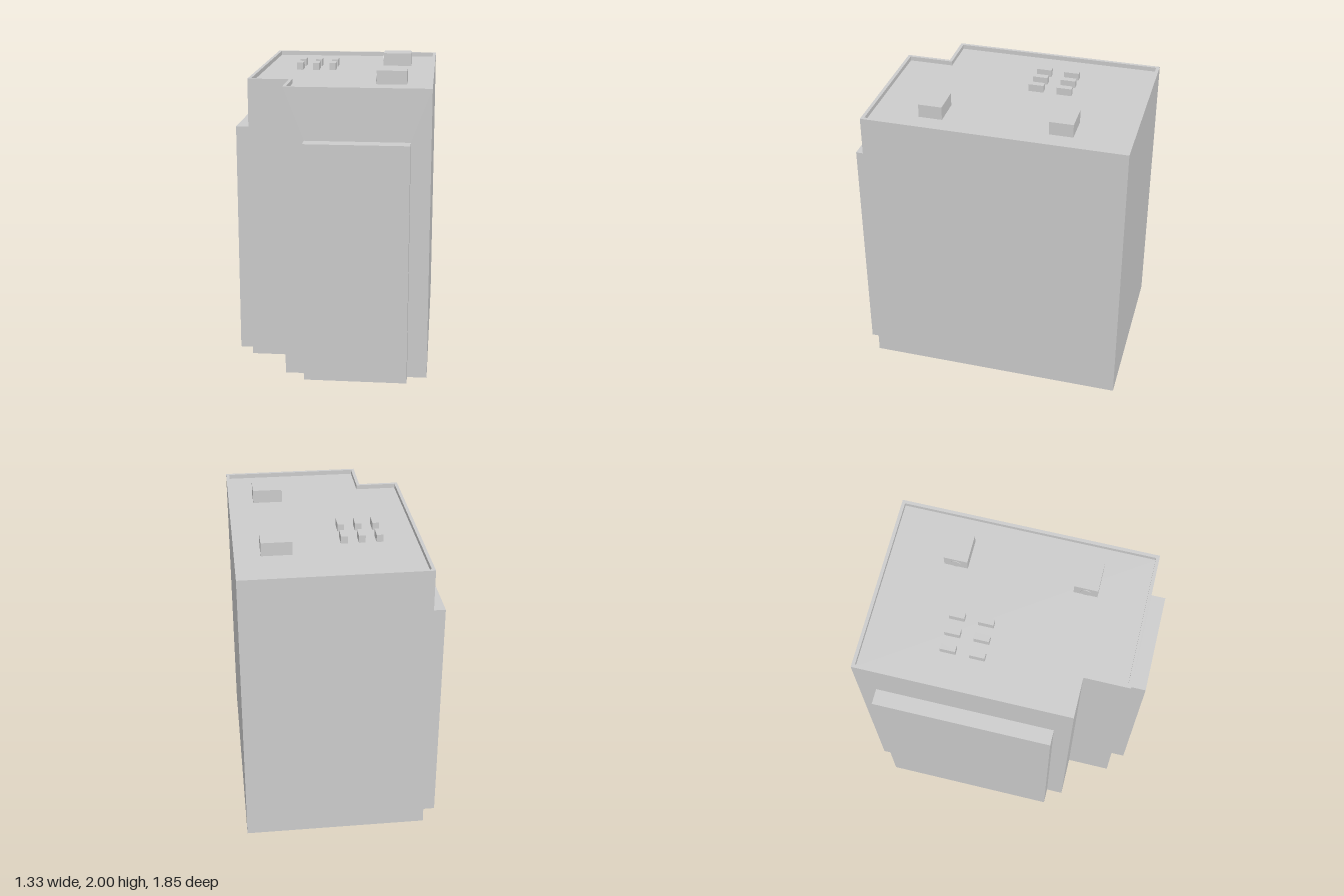
import * as THREE from 'three';

const material = new THREE.MeshStandardMaterial({ color: 0xcccccc, side: THREE.DoubleSide, flatShading: true });
const TOP = 1.94, ROOF = 1.91, BAY_TOP = 1.595, RIM = 0.022;

// Footprint corners [x, z], walked so that every wall faces outward
const footprint = [
  [-0.285, 0.82], [0.66, 0.82], [0.66, -0.925],
  [-0.56, -0.925], [-0.56, 0.515], [-0.285, 0.515],
];
const innerFootprint = [
  [-0.285 + RIM, 0.82 - RIM], [0.66 - RIM, 0.82 - RIM], [0.66 - RIM, -0.925 + RIM],
  [-0.56 + RIM, -0.925 + RIM], [-0.56 + RIM, 0.515 - RIM], [-0.285 + RIM, 0.515 - RIM],
];

function add(parent, name, geometry) {
  const mesh = new THREE.Mesh(geometry, material);
  mesh.name = name;
  parent.add(mesh);
  return mesh;
}

// Vertical wall from a to b; opening = [start, end] leaves a doorway up to BAY_TOP
function wall(parent, name, a, b, y0, y1, opening) {
  const dx = b[0] - a[0], dz = b[1] - a[1], length = Math.hypot(dx, dz);
  const points = [[0, y0]];
  if (opening) {
    const [s, e] = opening;
    points.push([s, y0], [s, BAY_TOP], [e, BAY_TOP], [e, y0]);
  }
  points.push([length, y0], [length, y1], [0, y1]);
  const shape = new THREE.Shape(points.map(p => new THREE.Vector2(...p)));
  const mesh = add(parent, name, new THREE.ShapeGeometry(shape));
  mesh.position.set(a[0], 0, a[1]);
  mesh.rotation.y = Math.atan2(-dz, dx);
}

// Horizontal sheet from [x, z] corners
function sheet(parent, name, corners, y, hole) {
  const flat = list => list.map(([x, z]) => new THREE.Vector2(x, -z));
  const shape = new THREE.Shape(flat(corners));
  if (hole) shape.holes.push(new THREE.Path(flat(hole)));
  const geometry = new THREE.ShapeGeometry(shape).rotateX(-Math.PI / 2).translate(0, y, 0);
  add(parent, name, geometry);
}

// Hollow bay opening into the building: three walls and a ledge
function bay(parent, name, corners) {
  const group = new THREE.Group();
  group.name = name;
  for (let i = 0; i < 3; i++) wall(group, 'bayWall', corners[i], corners[i + 1], 0, BAY_TOP);
  sheet(group, 'bayTop', corners, BAY_TOP);
  parent.add(group);
}

function box(parent, name, x0, x1, y0, y1, z0, z1) {
  const geometry = new THREE.BoxGeometry(x1 - x0, y1 - y0, z1 - z0);
  return add(parent, name, geometry.translate((x0 + x1) / 2, (y0 + y1) / 2, (z0 + z1) / 2));
}

export function createModel() {
  const model = new THREE.Group();
  model.name = 'building';

  // Outer walls, open underneath, with openings behind the two bays
  const openings = { 0: [0.135, 0.815], 3: [0.125, 1.325] };
  footprint.forEach((a, i) => {
    wall(model, 'outerWall', a, footprint[(i + 1) % 6], 0, TOP, openings[i]);
  });

  // Projecting bays
  bay(model, 'frontBay', [[-0.15, 0.82], [-0.15, 0.925], [0.53, 0.925], [0.53, 0.82]]);
  bay(model, 'sideBay', [[-0.56, -0.8], [-0.665, -0.8], [-0.665, 0.4], [-0.56, 0.4]]);

  // Sunken roof and parapet
  sheet(model, 'roof', innerFootprint, ROOF);
  sheet(model, 'parapetCap', footprint, TOP, innerFootprint);
  innerFootprint.forEach((a, i) => {
    wall(model, 'parapetInside', innerFootprint[(i + 1) % 6], a, ROOF, TOP);
  });

  // Large roof units, each with a thin round vent on its side
  for (const z of [-0.462, 0.404]) {
    box(model, 'roofUnit', 0.287, 0.488, ROOF, 2, z - 0.079, z + 0.079);
    const vent = add(model, 'roofUnitVent', new THREE.CylinderGeometry(0.034, 0.034, 0.005, 16));
    vent.rotation.z = Math.PI / 2;
    vent.position.set(0.2855, 1.947, z);
  }

  // Two rows of small roof units
  for (const x of [-0.294, -0.178, -0.061]) {
    for (const z of [-0.36, -0.168]) {
      box(model, 'smallRoofUnit', x - 0.022, x + 0.022, ROOF, 1.96, z - 0.051, z + 0.051);
    }
  }
  return model;
}
